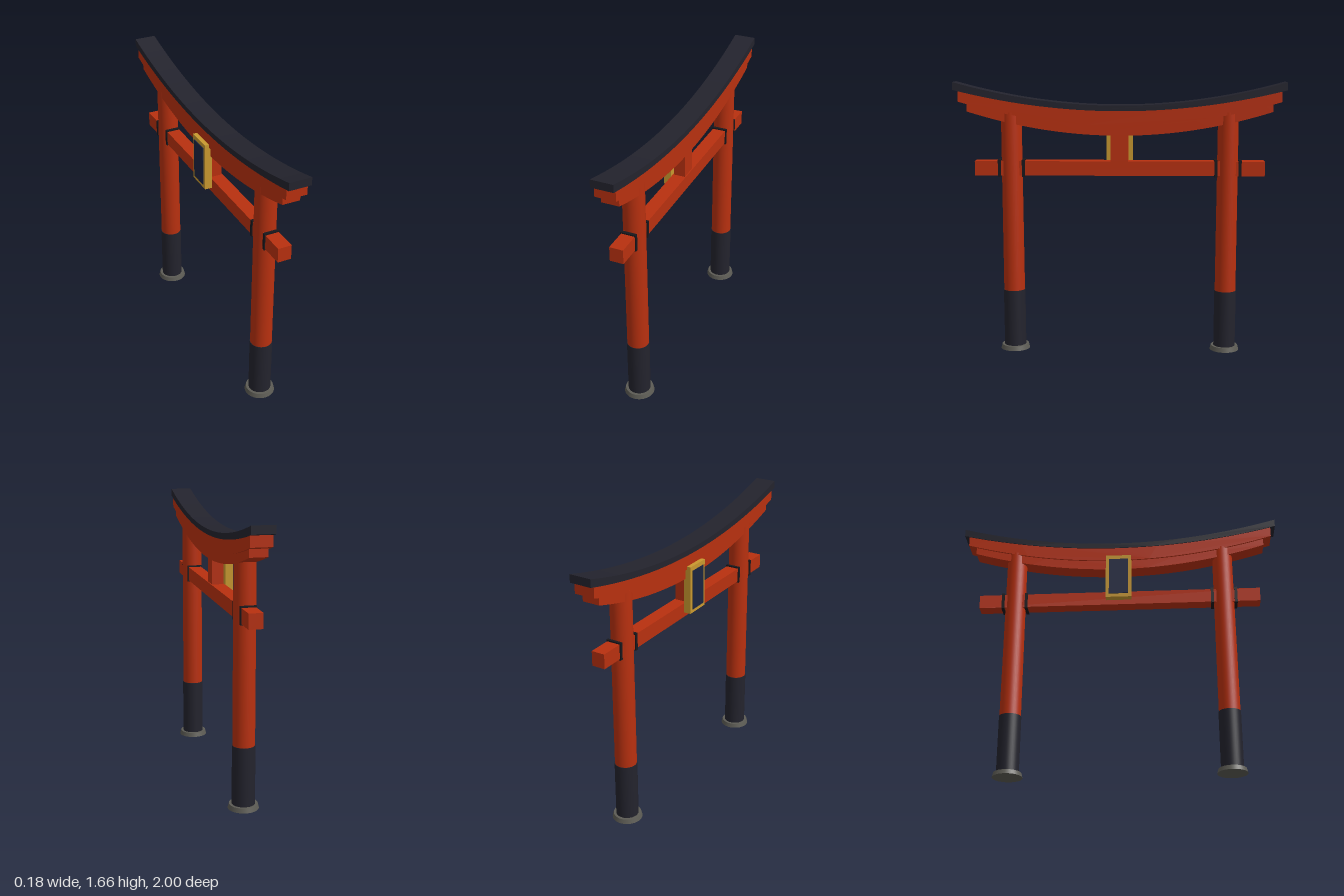
import * as THREE from 'three';

const paint = (name, color) => {
  const m = new THREE.MeshStandardMaterial({ color });
  m.name = name;
  return m;
};

export function createModel() {
  const red = paint('vermilion', 0xb8300f);
  const dark = paint('charcoal', 0x23232d);
  const black = paint('black', 0x17171c);
  const gold = paint('gold', 0xc9992f);
  const navy = paint('navy', 0x1b2440);
  const stone = paint('stone', 0x5c5b54);

  const gate = new THREE.Group();
  gate.name = 'gate';

  const add = (name, geometry, material, x = 0, y = 0, z = 0) => {
    const mesh = new THREE.Mesh(geometry, material);
    mesh.name = name;
    mesh.position.set(x, y, z);
    gate.add(mesh);
    return mesh;
  };
  // Box given by its limits on each axis
  const box = (name, material, [x0, x1], [y0, y1], [z0, z1]) =>
    add(name, new THREE.BoxGeometry(x1 - x0, y1 - y0, z1 - z0), material,
      (x0 + x1) / 2, (y0 + y1) / 2, (z0 + z1) / 2);
  // Upright round part
  const round = (name, material, rBottom, rTop, y0, y1, z) =>
    add(name, new THREE.CylinderGeometry(rTop, rBottom, y1 - y0, 40), material, 0, (y0 + y1) / 2, z);

  // Upswept beam between two parabolas [height at centre, rise at z = 1]
  const sweptBeam = (name, material, halfLength, halfWidth, bottom, top) => {
    const steps = 40;
    const points = [];
    const edge = ([base, rise], dir) => {
      for (let i = 0; i <= steps; i++) {
        const z = dir * halfLength * (2 * i / steps - 1);
        points.push(new THREE.Vector2(z, base + rise * z * z));
      }
    };
    edge(bottom, 1);
    edge(top, -1);
    const geometry = new THREE.ExtrudeGeometry(new THREE.Shape(points),
      { depth: 2 * halfWidth, bevelEnabled: false });
    geometry.translate(0, 0, -halfWidth).rotateY(Math.PI / 2);
    add(name, geometry, material);
  };

  // Curved lintels and roof cap
  const capTop = [1.526, 0.139], capBottom = [1.493, 0.125];
  const upperBottom = [1.405, 0.152], lowerBottom = [1.345, 0.17];
  sweptBeam('roofCap', dark, 1, 0.066, capBottom, capTop);
  sweptBeam('upperLintel', red, 0.97, 0.0615, upperBottom, capBottom);
  sweptBeam('lowerLintel', red, 0.92, 0.052, lowerBottom, upperBottom);

  // Straight tie beam
  box('tieBeam', red, [-0.041, 0.041], [1.1, 1.188], [-0.88, 0.88]);

  // Pillars with sleeves, stone feet and collars around the tie beam
  for (const side of [-1, 1]) {
    const z = side * 0.657;
    round('stoneFoot', stone, 0.09, 0.083, 0, 0.027, z);
    round('pillarSleeve', dark, 0.067, 0.067, 0.02, 0.38, z);
    round('pillar', red, 0.0645, 0.0625, 0.37, 1.485, z);
    for (const offset of [-0.073, 0.073]) {
      const c = z + offset;
      box('beamCollar', black, [-0.047, 0.047], [1.092, 1.196], [c - 0.009, c + 0.009]);
    }
  }

  // Central strut and framed plaque
  box('strut', red, [-0.035, 0.035], [1.18, 1.36], [-0.053, 0.053]);
  box('plaqueFrame', gold, [-0.087, -0.042], [1.13, 1.425], [-0.08, 0.08]);
  box('plaquePanel', navy, [-0.092, -0.086], [1.153, 1.397], [-0.06, 0.06]);

  return gate;
}
